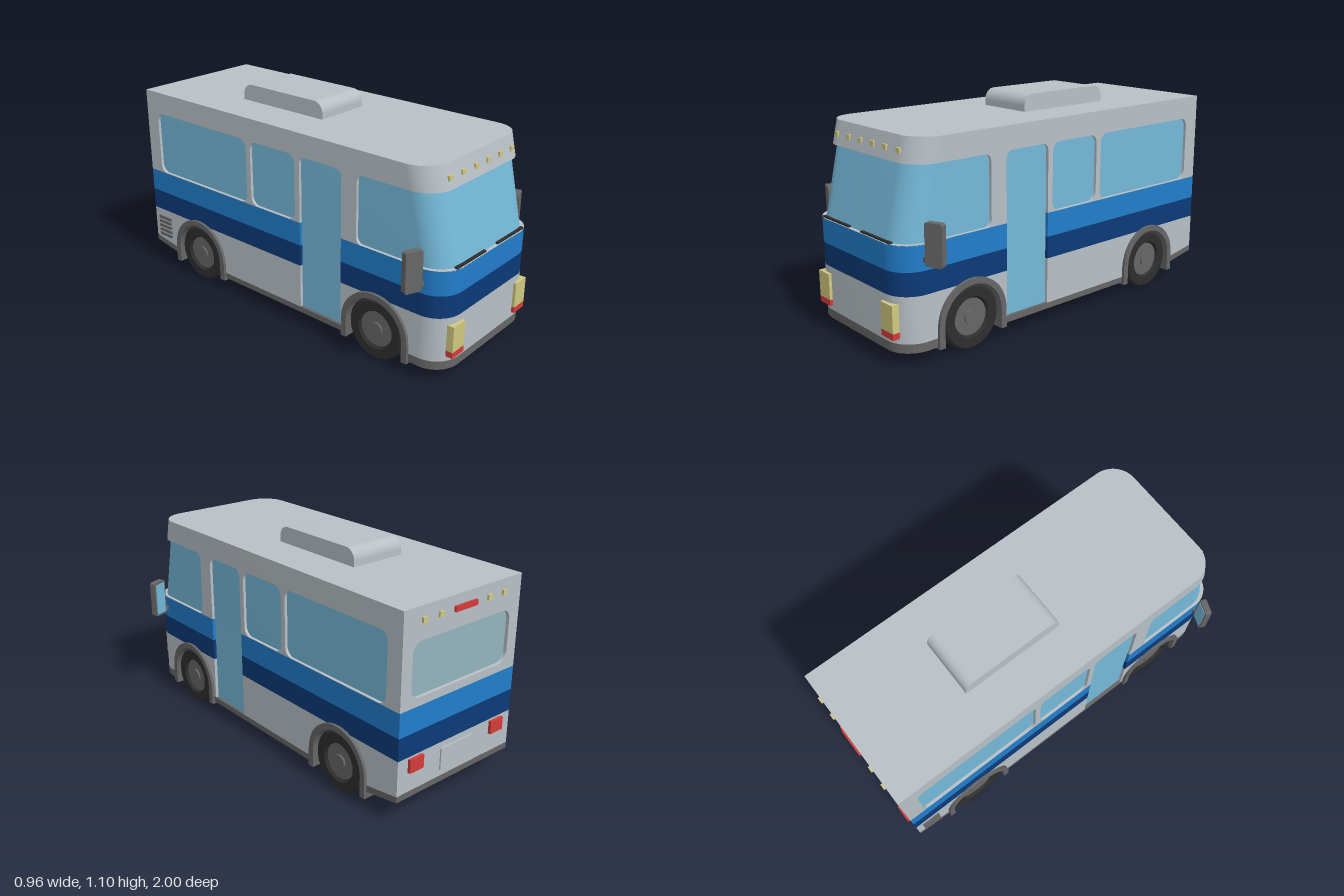
import * as THREE from 'three';
import { toCreasedNormals } from 'three/addons/utils/BufferGeometryUtils.js';

export function createModel() {
  const bus = new THREE.Group();
  bus.name = 'bus';
  const mat = (name, color) => {
    const m = new THREE.MeshStandardMaterial({ color });
    m.name = name;
    return m;
  };
  const grey = mat('bodyGrey', 0xb8c0c6), blue = mat('blue', 0x217dca), navy = mat('navy', 0x0c3a78);
  const glass = mat('glass', 0x74b8d8), rearGlass = mat('rearGlass', 0x93b3be), trim = mat('trim', 0x666666);
  const black = mat('black', 0x2e2e2e), yellow = mat('lampYellow', 0xd0c880), red = mat('lampRed', 0xd43c38);

  const W = 0.372, FRONT = 0.985, BACK = -0.985, AXLES = [0.61, -0.605], HUB_Y = 0.155;

  const add = (name, geo, material, parent = bus) => {
    const m = new THREE.Mesh(geo, material);
    m.name = name;
    parent.add(m);
    return m;
  };
  // box given by its limits
  const box = (name, material, x0, x1, y0, y1, z0, z1) =>
    add(name, new THREE.BoxGeometry(x1 - x0, y1 - y0, z1 - z0)
      .translate((x0 + x1) / 2, (y0 + y1) / 2, (z0 + z1) / 2), material);
  // side profile in (z, y), extruded across x
  const across = (name, material, shape, x0, x1) => {
    const g = new THREE.ExtrudeGeometry(shape, { depth: x1 - x0, bevelEnabled: false, curveSegments: 16 });
    g.rotateY(-Math.PI / 2).translate(x1, 0, 0);
    return add(name, toCreasedNormals(g, 0.6), material);
  };
  // plan with rounded front corners, extruded upward; the front leans back by lean
  const upright = (name, material, y0, y1, zBack, zFront, w = W, r = 0.13, lean = 0) => {
    const s = new THREE.Shape();
    s.moveTo(-w, -zBack).lineTo(-w, -zFront + r);
    s.absarc(-w + r, -zFront + r, r, Math.PI, Math.PI * 1.5, false);
    s.absarc(w - r, -zFront + r, r, Math.PI * 1.5, Math.PI * 2, false);
    s.lineTo(w, -zBack);
    const g = new THREE.ExtrudeGeometry(s, { depth: y1 - y0, bevelEnabled: false, curveSegments: 10 });
    g.rotateX(-Math.PI / 2).translate(0, y0, 0);
    const p = g.attributes.position;
    for (let i = 0; i < p.count; i++) {
      if (p.getZ(i) > zBack + 0.02) p.setZ(i, p.getZ(i) - lean * (p.getY(i) - y0) / (y1 - y0));
    }
    g.computeVertexNormals();
    return add(name, toCreasedNormals(g, 0.6), material);
  };
  const roundRect = (a0, a1, b0, b1, r, Type = THREE.Path) => {
    const s = new Type();
    s.moveTo(a0 + r, b0);
    s.absarc(a1 - r, b0 + r, r, -Math.PI / 2, 0, false);
    s.absarc(a1 - r, b1 - r, r, 0, Math.PI / 2, false);
    s.absarc(a0 + r, b1 - r, r, Math.PI / 2, Math.PI, false);
    s.absarc(a0 + r, b0 + r, r, Math.PI, Math.PI * 1.5, false);
    return s;
  };
  const poly = pts => new THREE.Shape(pts.map(p => new THREE.Vector2(...p)));

  // coloured bands, interrupted by the doors
  for (const [name, m, y0, y1] of [['navyBand', navy, 0.33, 0.44], ['blueBand', blue, 0.44, 0.56]]) {
    upright(name + 'Front', m, y0, y1, 0.40, FRONT);
    box(name + 'Rear', m, -W, W, y0, y1, BACK, 0.14);
  }
  upright('windscreenLedge', grey, 0.556, 0.561, 0.52, FRONT);

  // lower body with wheel openings
  upright('lowerNose', grey, 0.11, 0.33, 0.80, FRONT);
  const [zf, zr] = AXLES, R = 0.173;
  const lowFront = new THREE.Shape();
  lowFront.moveTo(0.40, 0.10).lineTo(zf - R, 0.10);
  lowFront.absarc(zf, HUB_Y, R, Math.PI, 0, true);
  lowFront.lineTo(zf + R, 0.11).lineTo(0.81, 0.11).lineTo(0.81, 0.33).lineTo(0.40, 0.33);
  across('lowerFront', grey, lowFront, -W, W);
  const lowRear = new THREE.Shape();
  lowRear.moveTo(BACK, 0.155).lineTo(-0.80, 0.125).lineTo(zr - R, 0.12);
  lowRear.absarc(zr, HUB_Y, R, Math.PI, 0, true);
  lowRear.lineTo(zr + R, 0.10).lineTo(0.14, 0.10).lineTo(0.14, 0.33).lineTo(BACK, 0.33);
  across('lowerRear', grey, lowRear, -W, W);

  // dark skirt and underside
  upright('skirtFront', trim, 0.067, 0.11, 0.79, FRONT);
  box('skirtMiddle', trim, -W, W, 0.07, 0.10, -0.43, 0.44);
  across('skirtRear', trim, poly([[-0.79, 0.09], [-0.79, 0.125], [BACK, 0.156], [BACK, 0.125]]), -W, W);
  box('undersideMiddle', black, -0.36, 0.36, 0.066, 0.072, -0.42, 0.43);
  upright('undersideFront', black, 0.063, 0.069, 0.80, 0.975, 0.36, 0.12);
  across('undersideRear', black, poly([[-0.79, 0.086], [-0.79, 0.094], [-0.98, 0.128], [-0.98, 0.12]]), -0.36, 0.36);

  // upper side walls with window openings
  const wall = new THREE.Shape();
  wall.moveTo(BACK, 0.56).lineTo(0.14, 0.56).lineTo(0.14, 0.86);
  wall.quadraticCurveTo(0.14, 0.90, 0.18, 0.90).lineTo(0.36, 0.90);
  wall.quadraticCurveTo(0.40, 0.90, 0.40, 0.86).lineTo(0.40, 0.56).lineTo(0.53, 0.56);
  wall.quadraticCurveTo(0.49, 0.56, 0.49, 0.60).lineTo(0.49, 0.86);
  wall.quadraticCurveTo(0.49, 0.90, 0.53, 0.90).lineTo(0.53, 0.905).lineTo(BACK, 0.905);
  wall.holes.push(roundRect(-0.90, -0.22, 0.563, 0.90, 0.045), roundRect(-0.19, 0.11, 0.563, 0.90, 0.045));
  across('sideWallLeft', grey, wall, W - 0.02, W);
  across('sideWallRight', grey, wall, -W, -W + 0.02);

  // rear wall and window
  const rear = poly([[-W, 0.56], [W, 0.56], [W, 0.905], [-W, 0.905]]);
  rear.holes.push(roundRect(-0.31, 0.31, 0.60, 0.86, 0.05));
  add('rearWall', new THREE.ExtrudeGeometry(rear, { depth: 0.02, bevelEnabled: false })
    .translate(0, 0, BACK), grey);
  box('rearWindow', rearGlass, -0.33, 0.33, 0.58, 0.88, -0.968, -0.96);

  // glazing and doors
  upright('windscreenAndWindows', glass, 0.56, 0.902, -0.955, 0.968, 0.357, 0.125, 0.077);
  box('doors', glass, -0.356, 0.356, 0.10, 0.88, 0.13, 0.41);

  // roof
  upright('roof', grey, 0.90, 1.015, BACK, 0.907, W, 0.13, 0.027);
  const unit = new THREE.Shape();
  unit.moveTo(-0.45, 1.01).lineTo(0.09, 1.01).lineTo(0.09, 1.045);
  unit.absarc(0.035, 1.045, 0.055, 0, Math.PI / 2, false);
  unit.absarc(-0.395, 1.045, 0.055, Math.PI / 2, Math.PI, false);
  across('roofUnit', grey, unit, -0.15, 0.15);

  // wheel arches, wheels and axles
  for (const z of AXLES) {
    const arch = new THREE.Shape();
    arch.moveTo(z + 0.195, 0.058).lineTo(z + 0.195, HUB_Y);
    arch.absarc(z, HUB_Y, 0.193, 0, Math.PI, false);
    arch.lineTo(z - 0.195, 0.058).lineTo(z - 0.164, 0.058);
    arch.absarc(z, HUB_Y, 0.164, Math.PI, 0, true);
    arch.lineTo(z + 0.164, 0.058);
    across('wheelArch', trim, arch, -0.387, 0.387);
    const lying = (name, m, r, x, len, seg = 32) =>
      add(name, new THREE.CylinderGeometry(r, r, len, seg).rotateZ(Math.PI / 2).translate(x, HUB_Y, z), m);
    lying('axle', black, 0.03, 0, 0.6, 16);
    lying('differential', black, 0.055, 0, 0.16, 16);
    for (const side of [-1, 1]) {
      const tyre = [[0.088, 0.28], [0.145, 0.28], [0.155, 0.29], [0.155, 0.36], [0.145, 0.372], [0.10, 0.372], [0.088, 0.355]]
        .map(p => new THREE.Vector2(...p));
      const g = new THREE.LatheGeometry(tyre, 40).rotateZ(-Math.PI / 2);
      if (side < 0) g.rotateY(Math.PI);
      add('tyre', toCreasedNormals(g.translate(0, HUB_Y, z), 0.6), black);
      lying('wheelDisc', trim, 0.09, side * 0.32, 0.075);
      lying('hubCap', trim, 0.035, side * 0.325, 0.085, 20);
    }
  }

  // mirrored details
  for (const s of [-1, 1]) {
    const pair = (name, m, x0, x1, ...rest) => box(name, m, Math.min(s * x0, s * x1), Math.max(s * x0, s * x1), ...rest);
    pair('headlight', yellow, 0.222, 0.312, 0.165, 0.295, 0.93, 1.0);
    pair('frontIndicator', red, 0.222, 0.312, 0.135, 0.165, 0.93, 1.0);
    pair('tailLight', red, 0.225, 0.31, 0.255, 0.32, -1.0, -0.98);
    pair('wiper', black, 0.05, 0.28, 0.559, 0.569, 0.963, 0.98);
    for (const x of [0.05, 0.15, 0.25]) pair('frontMarker', yellow, x - 0.013, x + 0.013, 0.94, 0.964, 0.87, 0.903);
    for (const x of [0.154, 0.253]) pair('rearMarker', yellow, x - 0.013, x + 0.013, 0.94, 0.965, -0.995, -0.98);

    const mirror = new THREE.Group();
    mirror.name = 'mirror';
    const housing = roundRect(-0.044, 0.044, -0.098, 0.098, 0.012, THREE.Shape);
    add('mirrorHousing', new THREE.ExtrudeGeometry(housing, { depth: 0.032, bevelEnabled: false })
      .translate(0, 0, -0.016), trim, mirror);
    add('mirrorGlass', new THREE.BoxGeometry(0.068, 0.17, 0.004).translate(0, 0, -0.017), glass, mirror);
    mirror.position.set(s * 0.432, 0.568, 0.85);
    mirror.rotation.y = s * 0.36;
    bus.add(mirror);
    pair('mirrorArm', trim, 0.34, 0.41, 0.48, 0.505, 0.85, 0.872);
  }

  // rear details
  box('rearBrakeLight', red, -0.07, 0.07, 0.938, 0.965, -0.995, -0.98);
  box('numberPlate', grey, -0.105, 0.105, 0.19, 0.30, -0.992, -0.984);
  for (let i = 0; i < 5; i++) {
    box('engineVentSlat', trim, -W - 0.008, -W + 0.005, 0.17 + i * 0.026, 0.185 + i * 0.026, -0.95, -0.85);
  }
  return bus;
}
